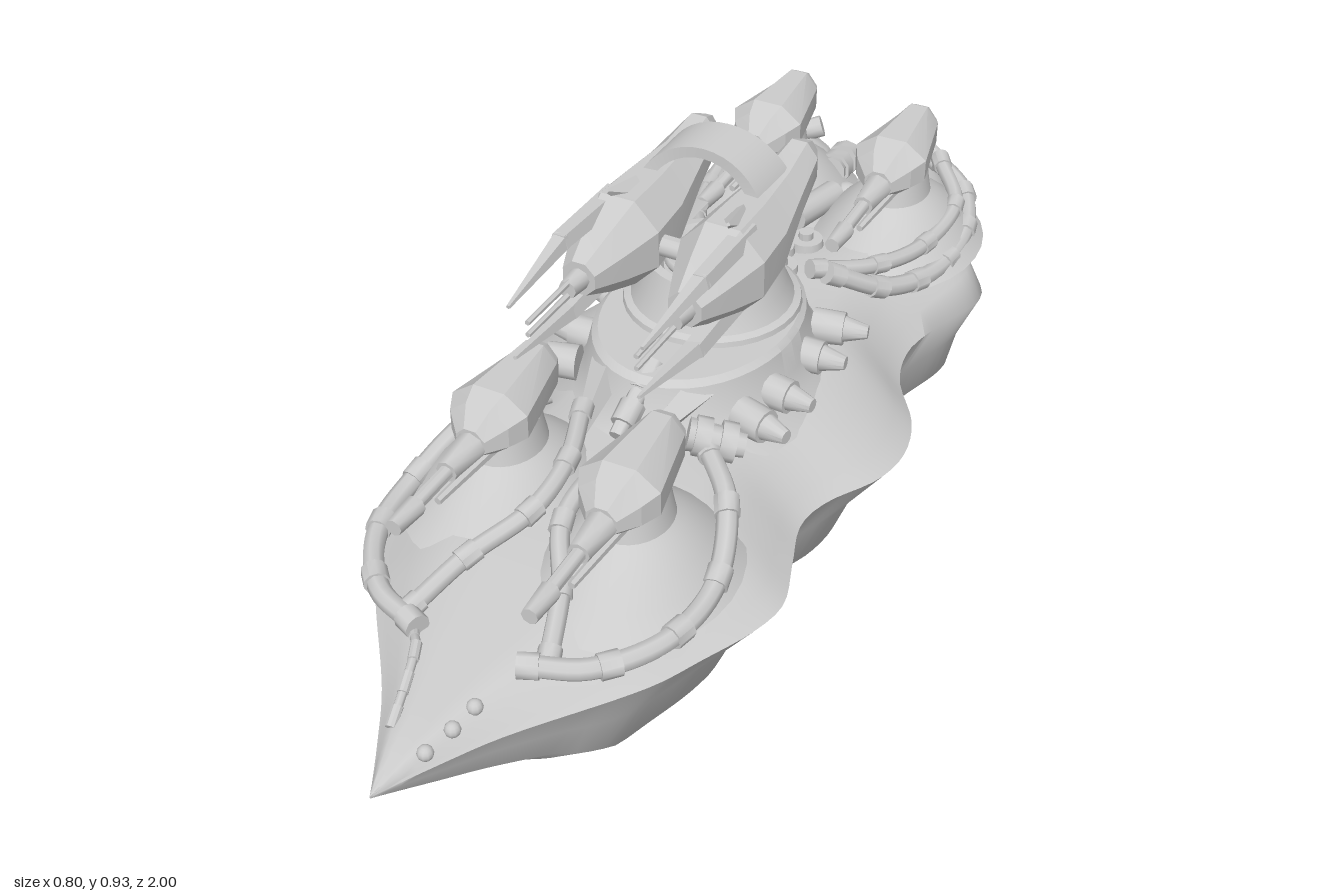
import * as THREE from 'three';
import { toCreasedNormals } from 'three/addons/utils/BufferGeometryUtils.js';

const mat = new THREE.MeshStandardMaterial({ color: 0xcccccc, side: THREE.DoubleSide });
const V = (x, y, z) => new THREE.Vector3(x, y, z);
const mix = THREE.MathUtils.lerp;

function add(parent, name, geo) {
  const m = new THREE.Mesh(geo, mat);
  m.name = name;
  parent.add(m);
  return m;
}

// Value through [position, value] keys, positions descending; smooth or straight
function key(keys, z, smooth = 1) {
  let i = 0;
  while (i < keys.length - 2 && z < keys[i + 1][0]) i++;
  const slope = k => {
    const a = keys[Math.max(k - 1, 0)], b = keys[Math.min(k + 1, keys.length - 1)];
    return (b[1] - a[1]) / (b[0] - a[0]);
  };
  const [z0, v0] = keys[i], [z1, v1] = keys[i + 1], d = z1 - z0;
  const t = THREE.MathUtils.clamp((z - z0) / d, 0, 1), u = 1 - t;
  const curve = v0 * (1 + 2 * t) * u * u + slope(i) * d * t * u * u + v1 * t * t * (3 - 2 * t) - slope(i + 1) * d * t * t * u;
  return mix(mix(v0, v1, t), curve, smooth);
}

// Skin closed rings of equal point count, with end caps
function loft(rings, crease = 0.6, flip = false) {
  const n = rings[0].length, pos = [], idx = [];
  rings.forEach(r => r.forEach(p => pos.push(p.x, p.y, p.z)));
  const tri = (a, b, c) => (flip ? idx.push(a, c, b) : idx.push(a, b, c));
  for (let i = 0; i < rings.length - 1; i++) {
    for (let j = 0; j < n; j++) {
      const a = i * n + j, b = i * n + (j + 1) % n;
      tri(a, b, a + n);
      tri(b, b + n, a + n);
    }
  }
  const e = (rings.length - 1) * n;
  for (let j = 1; j < n - 1; j++) {
    tri(0, j + 1, j);
    tri(e, e + j, e + j + 1);
  }
  const g = new THREE.BufferGeometry();
  g.setAttribute('position', new THREE.Float32BufferAttribute(pos, 3));
  g.setIndex(idx);
  return toCreasedNormals(g, crease);
}

// Tapered cylinder between two points
function rod(parent, name, a, b, r0, r1 = r0, sides = 10) {
  const d = b.clone().sub(a);
  const m = add(parent, name, toCreasedNormals(new THREE.CylinderGeometry(r1, r0, d.length(), sides), 0.8));
  m.position.copy(a).add(b).multiplyScalar(0.5);
  m.quaternion.setFromUnitVectors(V(0, 1, 0), d.normalize());
}

// Hose with collar joints
function pipe(parent, name, pts, r, joints) {
  const c = new THREE.CatmullRomCurve3(pts.map(p => V(...p)));
  add(parent, name, new THREE.TubeGeometry(c, 40, r, 8));
  for (let i = 0; i <= joints; i++) {
    const p = c.getPointAt(i / joints), t = c.getTangentAt(i / joints).multiplyScalar(0.018);
    rod(parent, name + 'Collar', p.clone().sub(t), p.clone().add(t), r * 1.2);
  }
}

// Rings along z from [z, y, halfWidth, halfHeight] stations
const zRings = (stations, x, n) => stations.map(([z, y, w, h]) =>
  Array.from({ length: n }, (_, k) => {
    const a = (k + 0.5) / n * Math.PI * 2;
    return V(x + Math.cos(a) * w, y + Math.sin(a) * h, z);
  }));

const beam = [[1, 0], [0.9, 0.055], [0.8, 0.115], [0.6, 0.265], [0.5, 0.315], [0.4, 0.36], [0.32, 0.375], [0.22, 0.345],
  [0.12, 0.315], [0.04, 0.33], [-0.06, 0.385], [-0.15, 0.4], [-0.25, 0.375], [-0.36, 0.305], [-0.46, 0.282], [-0.56, 0.3],
  [-0.68, 0.34], [-0.74, 0.33], [-0.82, 0.26], [-0.92, 0.2], [-1, 0.14]];
const keel = [[1, 0.362], [0.85, 0.255], [0.68, 0.145], [0.64, 0.1], [0.57, 0.052], [0.16, 0.05], [0.06, 0.002],
  [-0.34, 0], [-0.52, 0.07], [-0.72, 0.07], [-0.86, 0.2], [-0.94, 0.26], [-1, 0.36]];
const deck = [[1, 0.367], [0.9, 0.395], [0.7, 0.43], [0.5, 0.46], [0.25, 0.485], [0, 0.49], [-0.4, 0.5], [-0.7, 0.515],
  [-0.9, 0.515], [-0.94, 0.5], [-1, 0.37]];
const notch = [[1, 0], [0, 0], [-0.7, 0], [-0.78, 0.012], [-0.9, 0.065], [-1, 0.11]];
const keelX = [[1, 0], [0, 0], [-0.32, 0], [-0.55, 0.14], [-0.8, 0.15], [-1, 0.128]];

// One half of the hull, split into two lobes at the stern
function hullHalf(s) {
  const rings = [];
  for (let i = 0; i <= 80; i++) {
    const z = 1 - i / 40, w = Math.max(key(beam, z), 0.001), yk = key(keel, z, 0.15), yd = key(deck, z, 0.4);
    const xi = Math.max(0, key(notch, z)), xk = Math.max(0, key(keelX, z));
    const stern = THREE.MathUtils.smoothstep(-z, 0.4, 0.8);
    const p = (x, y) => V(s * x, y, z);
    rings.push([
      p(xi, mix(yd, 0.365, stern * 0.4)), p(mix(xi, w, 0.25), mix(yd, 0.365, stern * 0.12)), p(mix(xi, w, 0.5), yd),
      p(mix(xi, w, 0.75), mix(0.365, yd, 0.58 + stern * 0.2)), p(mix(xi, w, 0.9), mix(0.365, yd, 0.2 + stern * 0.2)), p(w, 0.365),
      p(mix(xk, w, 0.77), mix(yk, 0.365, 0.66)), p(mix(xk, w, 0.67), mix(yk, 0.365, 0.37)),
      p(mix(xk, w, 0.35), mix(yk, 0.365, 0.17)), p(xk, yk), p(xi, mix(yk, 0.31, stern))]);
  }
  return loft(rings, 1.0, s < 0);
}

// Small deck gun on a conical mound
function deckGun(name, x, y, z, aim) {
  const g = new THREE.Group();
  g.name = name;
  const prof = [[0.19, -0.2], [0.15, -0.16], [0.125, -0.13], [0.085, -0.095], [0.07, -0.085], [0.065, -0.06], [0.06, -0.03], [0, -0.03]];
  const mound = add(g, 'gunMound', toCreasedNormals(
    new THREE.LatheGeometry(prof.map(p => new THREE.Vector2(...p)), 28), 0.6));
  mound.scale.set(0.95, 1, 1.15);
  const top = new THREE.Group();
  top.name = 'gunHead';
  top.rotation.y = aim;
  g.add(top);
  add(top, 'gunHousing', loft(zRings([[-0.12, 0.005, 0.036, 0.045], [-0.1, 0.005, 0.046, 0.056], [0.05, 0.002, 0.08, 0.058],
    [0.085, -0.003, 0.062, 0.05], [0.115, -0.015, 0.03, 0.03]], 0, 8), 0.3));
  rod(top, 'barrelSleeve', V(0, -0.02, 0.1), V(0, -0.022, 0.19), 0.03, 0.02, 8);
  rod(top, 'barrel', V(0, -0.022, 0.18), V(0, -0.025, 0.33), 0.013);
  rod(top, 'muzzle', V(0, -0.025, 0.28), V(0, -0.025, 0.345), 0.019, 0.015, 8);
  for (const s of [-1, 1]) rod(top, 'sideBarrel', V(s * 0.024, -0.038, 0.06), V(s * 0.014, -0.042, 0.24), 0.011, 0.007, 6);
  g.position.set(x, y, z);
  return g;
}

// Ribbed tank between two points
function canister(parent, name, a, b, r) {
  rod(parent, name, a, b, r, r * 0.75);
  for (const t of [0.25, 0.7]) rod(parent, name + 'Rib', a.clone().lerp(b, t - 0.14), a.clone().lerp(b, t + 0.14), r * 1.2);
}

function mainTurret() {
  const g = new THREE.Group();
  g.name = 'mainTurret';
  const prof = [[0.17, 0.58], [0.165, 0.605], [0.152, 0.61], [0.138, 0.64], [0.122, 0.69], [0.105, 0.692], [0.09, 0.665], [0, 0.655]];
  add(g, 'turretDrum', toCreasedNormals(new THREE.LatheGeometry(prof.map(p => new THREE.Vector2(...p)), 32), 0.6)).position.z = -0.15;
  for (const r of [0.03, 0.055, 0.08]) {
    const coil = add(g, 'coilRing', new THREE.TorusGeometry(r, 0.011, 8, 28));
    coil.rotation.x = Math.PI / 2 - 0.12;
    coil.position.set(0, 0.71 - r * 0.4, -0.15);
  }
  // Hood walls sweeping up from the drum into an arch
  const arch = [];
  for (let i = 0; i <= 32; i++) {
    const a = mix(-0.85, Math.PI + 0.85, i / 32), t = Math.max(0, (Math.sin(a) + 0.75) / 1.75);
    const hw = mix(0.115, 0.05, Math.sqrt(t)), th = mix(0.032, 0.02, t), zc = mix(-0.15, -0.155, t);
    const p = (r, z) => V(Math.cos(a) * r * 0.99, 0.795 + Math.sin(a) * r, z);
    arch.push([p(0.136, zc + hw), p(0.136, zc - hw), p(0.136 - th, zc - hw), p(0.136 - th, zc + hw)]);
  }
  add(g, 'hoodArch', loft(arch, 0.6, true));
  rod(g, 'podAxle', V(-0.05, 0.785, 0), V(0.05, 0.785, 0), 0.02);
  // Twin faceted weapon pods with claws
  for (const s of [-1, 1]) {
    const x = s * 0.102;
    add(g, 'weaponPod', loft(zRings([[-0.33, 0.835, 0.02, 0.03], [-0.29, 0.835, 0.04, 0.05], [-0.2, 0.815, 0.055, 0.055],
      [-0.08, 0.79, 0.08, 0.085], [0.02, 0.787, 0.087, 0.092], [0.09, 0.785, 0.062, 0.066], [0.16, 0.785, 0.034, 0.034]], x, 8), 0.3));
    rod(g, 'podBarrel', V(x, 0.785, 0.13), V(x, 0.785, 0.2), 0.024, 0.017, 8);
    for (const dy of [-0.012, 0.012]) rod(g, 'podNeedle', V(x, 0.785 + dy, 0.18), V(x, 0.785 + dy, 0.33), 0.006, 0.005, 6);
    for (const [dx, dy, r] of [[0.03, 0.065, 0.024], [0.02, -0.068, 0.026]]) {
      const p = (k, z) => V(x + s * dx * k, 0.785 + dy * k, z);
      rod(g, 'clawRoot', p(0.95, -0.02), p(1.05, 0.17), r, r * 0.8, 5);
      rod(g, 'clawTip', p(1.05, 0.16), p(0.75, 0.35), r * 0.8, 0.004, 5);
    }
    rod(g, 'podFin', V(x, 0.85, -0.04), V(x + s * 0.015, 0.885, 0.03), 0.03, 0.004, 4);
  }
  return g;
}

export function createModel() {
  const g = new THREE.Group();
  for (const s of [1, -1]) add(g, s > 0 ? 'hullLeft' : 'hullRight', hullHalf(s));

  // Raised oval platform amidships
  const rings = [[0.45, 1.42], [0.49, 1.22], [0.53, 1.1], [0.585, 1.03], [0.595, 0.97]].map(([y, k]) =>
    Array.from({ length: 40 }, (_, i) => {
      const a = -i / 40 * Math.PI * 2;
      return V(Math.cos(a) * 0.18 * k, y, -0.1 + Math.sin(a) * 0.235 * k);
    }));
  add(g, 'platform', loft(rings, 0.6, true));
  g.add(mainTurret());

  g.add(deckGun('frontLeftGun', 0.14, 0.625, 0.41, 0.02), deckGun('frontRightGun', -0.15, 0.625, 0.335, 0));
  g.add(deckGun('rearLeftGun', 0.14, 0.655, -0.705, 0.02), deckGun('rearRightGun', -0.14, 0.655, -0.725, 0));

  for (const s of [1, -1]) {
    const m = pts => pts.map(([x, y, z]) => [s * x, y, z]);
    // Hoses looping around the gun mounds
    pipe(g, 'frontOuterHose', m([[0.17, 0.54, 0.2], [0.25, 0.52, 0.29], [0.295, 0.46, 0.42], [0.28, 0.445, 0.56], [0.2, 0.44, 0.67], [0.11, 0.44, 0.71]]), 0.019, 5);
    pipe(g, 'frontInnerHose', m([[0.07, 0.55, 0.22], [0.03, 0.54, 0.34], [0.03, 0.52, 0.46], [0.09, 0.48, 0.57], [0.13, 0.44, 0.68]]), 0.017, 4);
    pipe(g, 'rearOuterHose', m([[0.14, 0.53, -0.92], [0.22, 0.5, -0.88], [0.275, 0.48, -0.76], [0.27, 0.47, -0.6], [0.22, 0.5, -0.46], [0.15, 0.56, -0.37]]), 0.019, 6);
    pipe(g, 'rearUpperHose', m([[0.17, 0.55, -0.88], [0.245, 0.53, -0.77], [0.24, 0.52, -0.6], [0.19, 0.54, -0.46], [0.12, 0.57, -0.36]]), 0.016, 4);

    // Conical studs along the platform sides
    [0.065, -0.025, -0.15, -0.245].forEach(z => {
      const d = V(s, 0, (z + 0.09) * 1.6).normalize();
      const p = k => V(s * 0.165, 0.525, z).addScaledVector(d, k);
      rod(g, 'studBase', p(0), p(0.06), 0.034, 0.032, 12);
      rod(g, 'studTip', p(0.06), p(0.105), 0.025, 0.013, 12);
    });
    canister(g, 'sternCanister', V(s * 0.045, 0.51, -0.8), V(s * 0.055, 0.49, -0.92), 0.03);
    rod(g, 'foreBlade', V(s * 0.09, 0.56, 0.08), V(s * 0.05, 0.53, 0.27), 0.035, 0.008, 4);
  }
  canister(g, 'leftCanister', V(0.13, 0.56, 0.2), V(0.22, 0.54, 0.16), 0.03);
  canister(g, 'rightCanister', V(-0.255, 0.44, 0.22), V(-0.245, 0.53, 0.21), 0.03);

  // Fittings along the centreline
  canister(g, 'foreCanister', V(0, 0.59, 0.08), V(0, 0.52, 0.22), 0.02);
  [[0.02, -0.53], [-0.02, -0.48], [0.015, -0.42]].forEach(([x, z]) => {
    rod(g, 'deckDisc', V(x, 0.48, z), V(x, 0.515, z), 0.038, 0.034, 16);
    rod(g, 'deckDiscHub', V(x, 0.515, z), V(x, 0.53, z), 0.015);
  });
  rod(g, 'deckTank', V(-0.005, 0.51, -0.72), V(-0.03, 0.52, -0.58), 0.028, 0.028, 12);
  add(g, 'sternBall', new THREE.SphereGeometry(0.033, 14, 10)).position.set(0, 0.47, -0.78);

  // Bow studs on one side, mooring hook on the other
  [[0.065, 0.409, 0.8], [0.055, 0.4, 0.85], [0.04, 0.392, 0.905]].forEach(p =>
    add(g, 'bowStud', new THREE.SphereGeometry(0.014, 10, 8)).position.set(...p));
  pipe(g, 'bowHook', [[-0.1, 0.43, 0.72], [-0.07, 0.44, 0.76], [-0.05, 0.425, 0.82], [-0.04, 0.4, 0.87]], 0.008, 3);
  return g;
}
